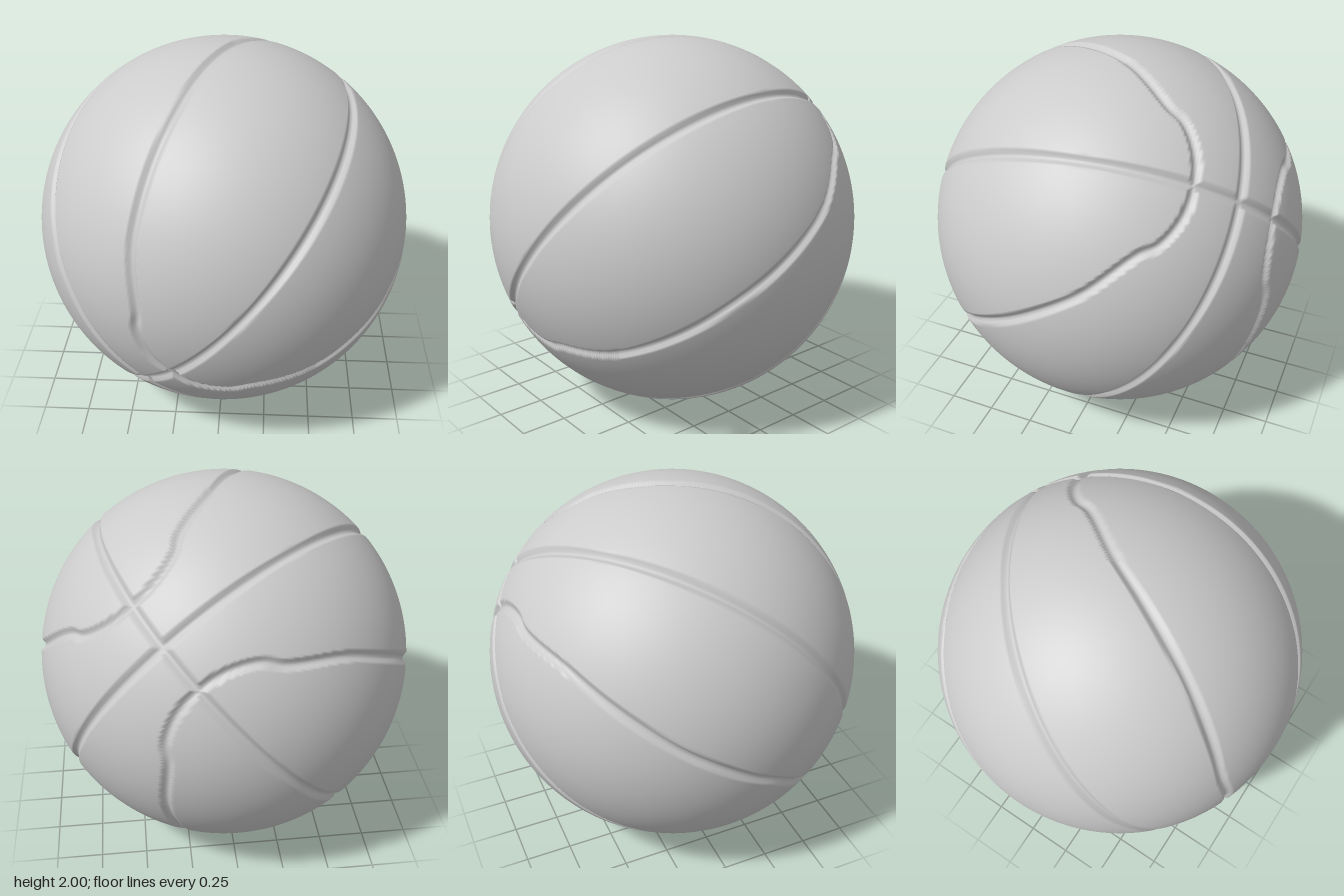
import * as THREE from 'three';

const WIDTH = 0.032, DEPTH = 0.022, DETAIL = 106;

// One quarter of an oval seam; the ball mirrors it across its three local planes
const quarter = [
  [0.255, 0.968, 0], [0.272, 0.95, 0.16], [0.33, 0.893, 0.3], [0.4, 0.84, 0.365],
  [0.52, 0.63, 0.575], [0.6, 0.43, 0.675], [0.65, 0.2, 0.732], [0.667, 0, 0.745],
].map((p) => new THREE.Vector3(...p).normalize());
const flip = (p, sx, sy, sz) => new THREE.Vector3(p.x * sx, p.y * sy, p.z * sz);
const ovalSeam = new THREE.CatmullRomCurve3([
  flip(quarter[1], 1, 1, -1), ...quarter, flip(quarter[6], 1, -1, 1),
]).getPoints(110).map((p) => p.normalize());

// Distance from a point on the unit sphere to the nearest seam
const folded = new THREE.Vector3(), nearest = new THREE.Vector3();
const segment = new THREE.Line3();
function seamDistance(d) {
  folded.set(Math.abs(d.x), Math.abs(d.y), Math.abs(d.z));
  let best = Math.min(folded.x, folded.z); // two straight seams
  let index = 0, closest = Infinity;
  ovalSeam.forEach((p, i) => {
    const s = p.distanceToSquared(folded);
    if (s < closest) { closest = s; index = i; }
  });
  if (closest > 0.01) return best;
  for (const i of [index - 1, index]) {
    if (i < 0 || i + 1 >= ovalSeam.length) continue;
    segment.set(ovalSeam[i], ovalSeam[i + 1]).closestPointToPoint(folded, true, nearest);
    best = Math.min(best, nearest.distanceTo(folded));
  }
  return best;
}

// Rounded channel pressed into the sphere
function surface(d) {
  const t = Math.min(seamDistance(d) / WIDTH, 1);
  return d.clone().multiplyScalar(1 - DEPTH * (1 - t * t) ** 1.5);
}

function groovedSphere() {
  // Even cube-sphere, with the straight seams lying along its grid lines
  const geometry = new THREE.BoxGeometry(2, 2, 2, DETAIL, DETAIL, DETAIL);
  const pos = geometry.attributes.position, normal = geometry.attributes.normal;
  const d = new THREE.Vector3(), a = new THREE.Vector3(), b = new THREE.Vector3();
  const even = (c) => Math.tan(c * Math.PI / 4);
  const step = 0.004;
  for (let i = 0; i < pos.count; i++) {
    d.set(even(pos.getX(i)), even(pos.getY(i)), even(pos.getZ(i))).normalize();
    // Smooth normal from central differences on the surface
    a.set(d.y, d.z, -d.x).cross(d);
    if (a.lengthSq() < 0.01) a.set(1, 0, 0).cross(d);
    a.normalize();
    b.crossVectors(d, a);
    const slope = (t) => surface(d.clone().addScaledVector(t, step).normalize())
      .sub(surface(d.clone().addScaledVector(t, -step).normalize()));
    const n = slope(a).cross(slope(b)).normalize();
    const p = surface(d);
    pos.setXYZ(i, p.x, p.y, p.z);
    normal.setXYZ(i, n.x, n.y, n.z);
  }
  return geometry;
}

export function createModel() {
  const group = new THREE.Group();
  group.name = 'basketball';
  const ball = new THREE.Mesh(groovedSphere(), new THREE.MeshStandardMaterial({ color: 0xcccccc }));
  ball.name = 'groovedBall';

  // Tilt: x points to the middle of one oval, y to a crossing of the straight seams
  const x = new THREE.Vector3(0.54, 0.54, 0.645).normalize();
  const z = new THREE.Vector3(0.756, -0.648, -0.09).normalize();
  const y = new THREE.Vector3().crossVectors(z, x).normalize();
  z.crossVectors(x, y);
  ball.quaternion.setFromRotationMatrix(new THREE.Matrix4().makeBasis(x, y, z));
  ball.position.y = 1;
  group.add(ball);
  return group;
}
